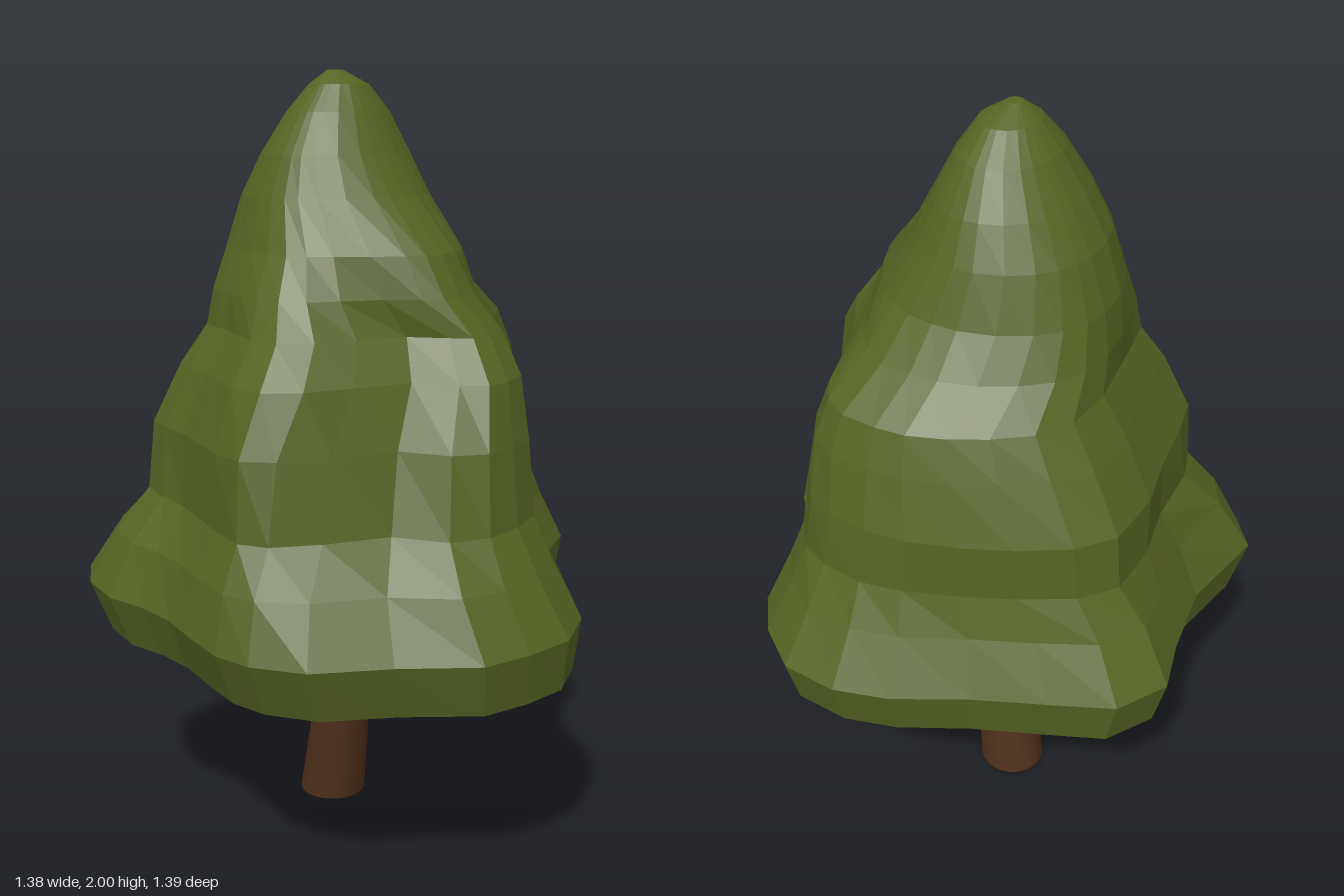
import * as THREE from 'three';

// Plan outlines as x, z pairs, 28 corners each, running from +x towards +z
const SKIRT = [
  .68, -.05, .69, .1, .62, .23, .53, .32, .37, .36, .24, .43, .15, .55,
  .02, .65, -.12, .69, -.25, .66, -.37, .61, -.5, .45, -.64, .31, -.69, .18,
  -.69, .08, -.65, -.03, -.6, -.15, -.58, -.26, -.58, -.37, -.53, -.49, -.44, -.58,
  -.17, -.575, .04, -.64, .17, -.695, .31, -.64, .4, -.5, .5, -.34, .62, -.18];
const CROWN = [
  .52, -.03, .52, .08, .5, .16, .44, .23, .33, .28, .21, .34, .11, .43,
  -.02, .52, -.12, .53, -.22, .52, -.3, .46, -.33, .33, -.47, .24, -.57, .16,
  -.6, .09, -.56, -.01, -.51, -.11, -.46, -.2, -.43, -.29, -.39, -.37, -.29, -.41,
  -.12, -.46, .02, -.515, .18, -.53, .27, -.47, .36, -.36, .43, -.25, .49, -.13];
const SHOULDER = [
  .46, -.03, .47, .08, .44, .16, .37, .22, .27, .27, .18, .32, .1, .39,
  .02, .47, -.07, .49, -.13, .48, -.16, .42, -.2, .31, -.33, .24, -.44, .18,
  -.51, .1, -.5, 0, -.45, -.09, -.4, -.18, -.37, -.26, -.33, -.33, -.24, -.36,
  -.11, -.4, 0, -.44, .15, -.45, .25, -.4, .33, -.31, .39, -.22, .44, -.12];
const N = SKIRT.length / 2;
const ROUND = Array.from({ length: N }, (_, i) => {
  const a = Math.atan2(SKIRT[2 * i + 1], SKIRT[2 * i]);
  return [Math.cos(a), Math.sin(a)];
}).flat();

// Levels: height, min x, max x, min z, max z,
// outline (0 skirt, 1 crown, 2 shoulder, 3 round)
const LEVELS = [
  [.405, -.02, .02, -.05, -.01, 0],
  [.47, -.42, .42, -.43, .43, 0],
  [.57, -.63, .65, -.66, .67, 0],
  [.71, -.69, .69, -.695, .695, 0],
  [.85, -.66, .6, -.61, .615, .3],
  [.96, -.615, .54, -.54, .55, .8],
  [1.13, -.6, .52, -.525, .525, 1.3],
  [1.28, -.54, .485, -.435, .49, 1.8],
  [1.38, -.46, .45, -.37, .42, 2.1],
  [1.47, -.41, .33, -.35, .36, 2.4],
  [1.57, -.35, .25, -.325, .31, 2.7],
  [1.7, -.3, .195, -.275, .2, 2.9],
  [1.8, -.26, .15, -.215, .14, 3],
  [1.9, -.2, .09, -.15, .09, 3],
  [1.965, -.145, .02, -.095, .05, 3],
  [2, -.095, -.055, -.045, -.005, 3]];

// Stretch an outline to fill -1..1 on both axes
function normalise(outline) {
  const axis = k => {
    const v = outline.filter((_, i) => i % 2 === k);
    const lo = Math.min(...v), hi = Math.max(...v);
    return v.map(p => (2 * (p - lo)) / (hi - lo) - 1);
  };
  return [axis(0), axis(1)];
}

function foliageGeometry() {
  const shapes = [SKIRT, CROWN, SHOULDER, ROUND].map(normalise);
  const { lerp } = THREE.MathUtils;
  const pos = [], index = [];
  LEVELS.forEach(([y, x0, x1, z0, z1, blend], level) => {
    const s = Math.min(2, Math.floor(blend)), t = blend - s;
    const tilt = level > 0 && y < 1 ? 0.03 : 0; // skirt leans slightly
    for (let i = 0; i < N; i++) {
      const u = lerp(shapes[s][0][i], shapes[s + 1][0][i], t);
      const v = lerp(shapes[s][1][i], shapes[s + 1][1][i], t);
      const x = lerp(x0, x1, (u + 1) / 2), z = lerp(z0, z1, (v + 1) / 2);
      pos.push(x, y + tilt * (x - z), z);
    }
  });
  for (let r = 0; r < LEVELS.length - 1; r++) {
    for (let i = 0; i < N; i++) {
      const a = r * N + i, b = r * N + (i + 1) % N, c = b + N, d = a + N;
      index.push(a, d, c, a, c, b);
    }
  }
  // Close the tiny rings at the underside and the tip
  const top = (LEVELS.length - 1) * N;
  for (let i = 1; i < N - 1; i++) {
    index.push(0, i, i + 1, top, top + i + 1, top + i);
  }
  const g = new THREE.BufferGeometry();
  g.setAttribute('position', new THREE.Float32BufferAttribute(pos, 3));
  g.setIndex(index);
  g.computeVertexNormals();
  return g;
}

// Tapered cylinder sheared so it leans while its foot stays level
function trunkGeometry() {
  const g = new THREE.CylinderGeometry(0.068, 0.091, 0.5, 24).translate(0, 0.25, 0);
  const lean = new THREE.Matrix4().set(
    1, -0.083, 0, 0.046,
    0, 1, 0, 0,
    0, 0.18, 1, -0.135,
    0, 0, 0, 1);
  return g.applyMatrix4(lean);
}

export function createModel() {
  const group = new THREE.Group();
  group.name = 'tree';

  const foliage = new THREE.Mesh(foliageGeometry(),
    new THREE.MeshStandardMaterial({ color: 0x556423, flatShading: true }));
  foliage.name = 'foliage';

  const trunk = new THREE.Mesh(trunkGeometry(),
    new THREE.MeshStandardMaterial({ color: 0x4f2f1a }));
  trunk.name = 'trunk';

  group.add(foliage, trunk);
  return group;
}
